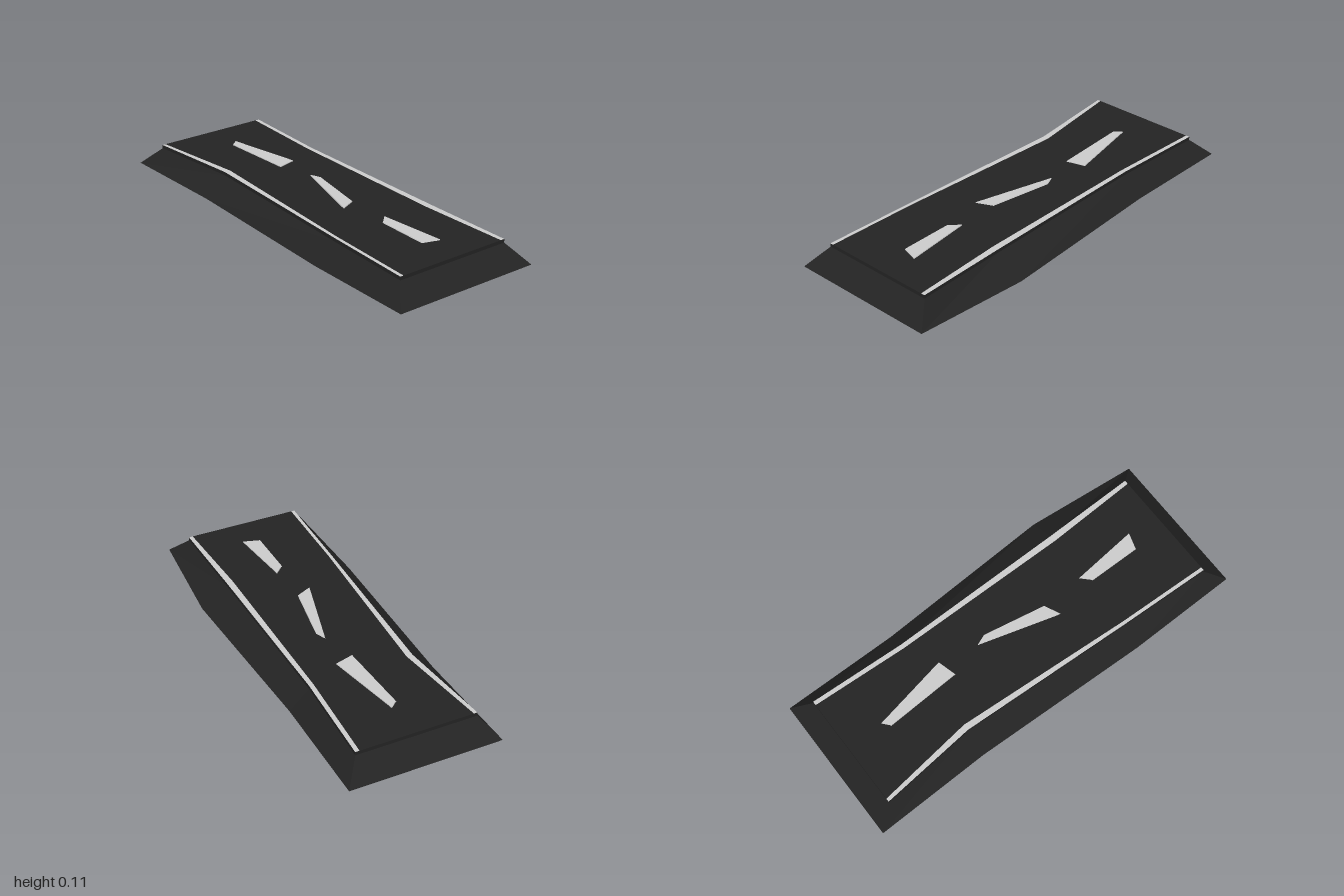
import * as THREE from 'three';

const paint = (color) => new THREE.MeshStandardMaterial({ color, flatShading: true, side: THREE.DoubleSide });

// Quads between two matching lines of points
function addBand(out, a, b, closed = false) {
  const n = a.length;
  for (let i = 0; i < (closed ? n : n - 1); i++) {
    const j = (i + 1) % n;
    out.push(...a[i], ...a[j], ...b[j], ...a[i], ...b[j], ...b[i]);
  }
}

function makeMesh(name, positions, material) {
  const geometry = new THREE.BufferGeometry();
  geometry.setAttribute('position', new THREE.Float32BufferAttribute(positions, 3));
  geometry.computeVertexNormals();
  const mesh = new THREE.Mesh(geometry, material);
  mesh.name = name;
  return mesh;
}

// One long line: x at each station from back to front
const line = (xs, y, endZ) => [-endZ, -0.43, 0.45, endZ].map((z, i) => [xs[i], y, z]);
const ring = (left, right, y, endZ) => [...line(left, y, endZ), ...line(right, y, endZ).reverse()];

export function createModel() {
  const group = new THREE.Group();
  const dark = paint(0x232323);
  const light = paint(0xcccccc);
  const TOP = 0.107, LEDGE = 0.09, END = 0.905;

  const outerL = [-0.385, -0.37, -0.395, -0.385];
  const outerR = [0.345, 0.345, 0.392, 0.345];
  const edgeL = [-0.31, -0.26, -0.296, -0.31];
  const edgeR = [0.27, 0.25, 0.26, 0.27];
  const innerL = [-0.293, -0.23, -0.28, -0.293];
  const innerR = [0.25, 0.228, 0.228, 0.25];

  // Sloped embankment and upright kerb, open underneath
  const base = ring(outerL, outerR, 0, 1);
  const ledge = ring(edgeL, edgeR, LEDGE, END);
  const rim = ring(edgeL, edgeR, TOP, END);
  const slope = [], kerb = [], road = [];
  addBand(slope, base, ledge, true);
  addBand(kerb, ledge, rim, true);
  group.add(makeMesh('embankment', slope, dark), makeMesh('kerb', kerb, dark));

  // Road surface with a pale line along each edge
  const top = (xs) => line(xs, TOP, END);
  addBand(road, top(innerL), top(innerR));
  group.add(makeMesh('roadSurface', road, dark));
  for (const [name, a, b] of [['rightEdgeLine', edgeL, innerL], ['leftEdgeLine', innerR, edgeR]]) {
    const strip = [];
    addBand(strip, top(a), top(b));
    group.add(makeMesh(name, strip, light));
  }

  // Centre dashes: crooked wedges sunk through the road, flaring below it
  const dashes = [
    [[-0.035, -0.69], [-0.015, -0.32], [0.075, -0.345], [0, -0.72]],
    [[0.035, -0.15], [-0.075, 0.24], [0, 0.205], [0.055, -0.1]],
    [[-0.035, 0.465], [-0.035, 0.72], [0.045, 0.745], [0.01, 0.42]],
  ];
  const flare = [[-0.02, -0.03], [-0.02, 0.03], [0.02, 0.03], [0.02, -0.03]];
  dashes.forEach((corners, k) => {
    const upper = corners.map(([x, z]) => [x, 0.111, z]);
    const lower = corners.map(([x, z], i) => [x + flare[i][0], 0.045, z + flare[i][1]]);
    const wedge = [];
    addBand(wedge, lower, upper, true);
    addBand(wedge, [upper[0], upper[1]], [upper[3], upper[2]]);
    group.add(makeMesh(`centreDash${k + 1}`, wedge, light));
  });

  return group;
}
